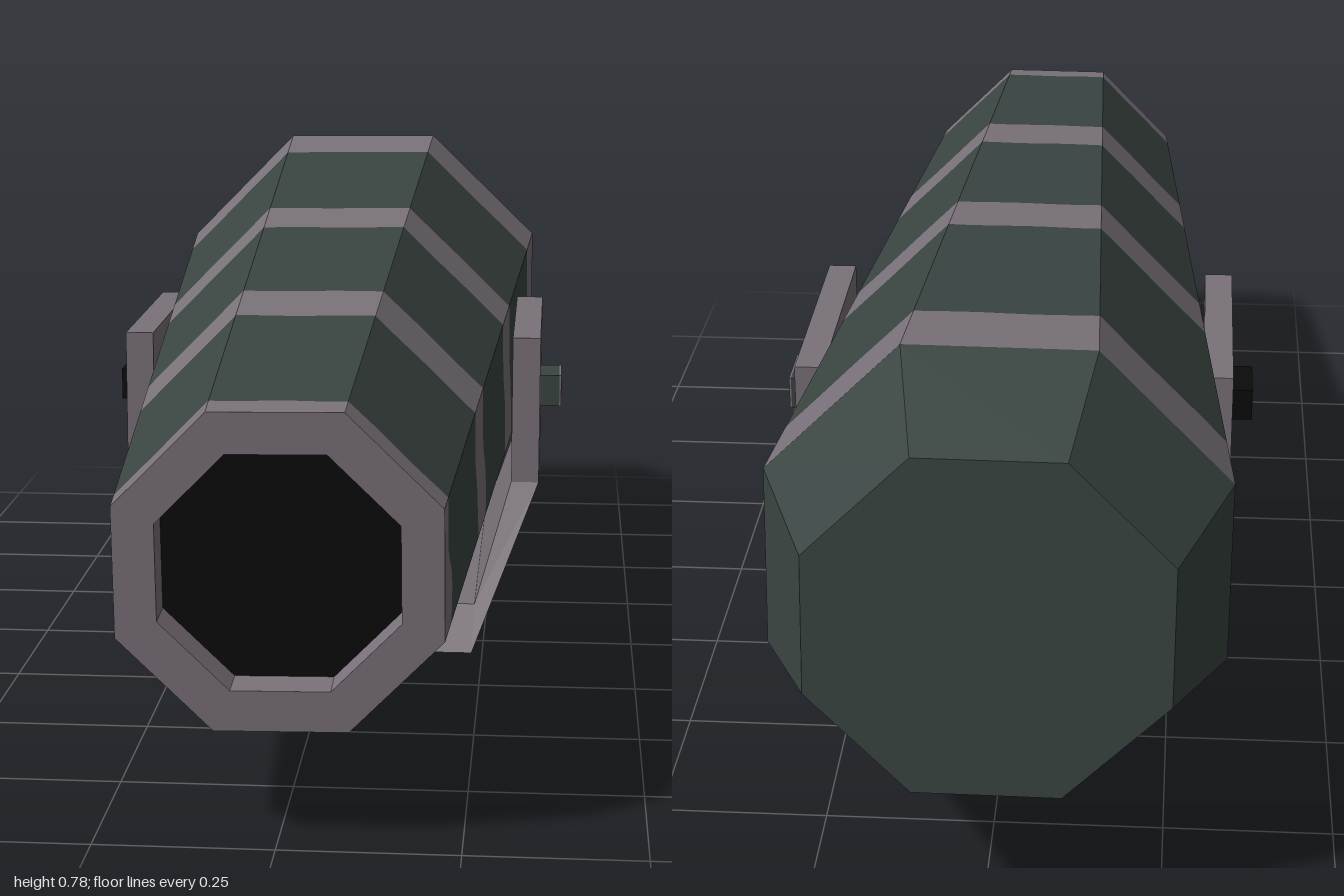
import * as THREE from 'three';

const mat = (name, color, extra = {}) => new THREE.MeshStandardMaterial({ name, color, ...extra });

// Collects quads and turns them into a faceted mesh
class Facets {
  constructor() { this.p = []; }
  quad(a, b, c, d) { this.p.push(...a, ...b, ...c, ...a, ...c, ...d); }
  mesh(name, material) {
    const g = new THREE.BufferGeometry();
    g.setAttribute('position', new THREE.Float32BufferAttribute(this.p, 3));
    g.computeVertexNormals();
    const m = new THREE.Mesh(g, material);
    m.name = name;
    return m;
  }
}

// Point on a flat-topped octagon of unit apothem; u counts facets from 0 to 8
function octagon(u) {
  const i = Math.floor(u), t = u - i, r = 1 / Math.cos(Math.PI / 8);
  const corner = k => [r * Math.cos((k - 0.5) * Math.PI / 4), r * Math.sin((k - 0.5) * Math.PI / 4)];
  const [ax, ay] = corner(i), [bx, by] = corner(i + 1);
  return [ax + (bx - ax) * t, ay + (by - ay) * t];
}

// Octagonal rings joined in order, each given as [apothem, z]
function rings(name, list, material) {
  const f = new Facets();
  const at = ([a, z], u) => { const [x, y] = octagon(u); return [x * a, y * a, z]; };
  for (let k = 0; k < list.length - 1; k++) {
    const [A, B] = [list[k], list[k + 1]];
    for (let u = 0; u < 8; u++) f.quad(at(A, u), at(B, u), at(B, u + 1), at(A, u + 1));
  }
  return f.mesh(name, material);
}

const FRONT = 0.99, RIM = -0.785;
const apothem = z => 0.22 + (FRONT - z) * 0.0603;

// Camouflage edge: steps backwards on the lower half, with a slight wobble
function edgeZ(base, u) {
  if (base === FRONT || base === RIM) return base;
  const y = octagon(u)[1];
  const drop = THREE.MathUtils.smoothstep(-y, -0.12, 0.14);
  const wobble = 0.006 * Math.sin(u * 5.5 * Math.PI / 2 + base * 9);
  return base - (base < -0.5 ? 0.025 : 0.045) * drop + wobble * (0.3 + drop);
}

function barrelStrip(name, z0, z1, material) {
  const f = new Facets(), steps = 8;
  const at = (base, u) => {
    const z = edgeZ(base, u % 8), a = apothem(z), [x, y] = octagon(u);
    return [x * a, y * a, z];
  };
  for (let k = 0; k < 8 * steps; k++) {
    const u = k / steps, v = (k + 1) / steps;
    f.quad(at(z0, u), at(z1, u), at(z1, v), at(z0, v));
  }
  return f.mesh(name, material);
}

// Cradle: U-shaped profile whose depth varies with height, points are [x, y, half depth]
function cradle(material) {
  const f = new Facets(), zc = -0.117;
  const O = [[0.34, 0.54, 0.21], [0.34, 0.3, 0.21], [0.237, 0.05, 0.355], [0.105, 0, 0.085]];
  const I = [[0.295, 0.54, 0.21], [0.295, 0.3, 0.21], [0.24, 0.12, 0.313]];
  const flip = ([x, y, h]) => [-x, y, h];
  const pt = ([x, y, h], s) => [x, y, zc + s * h];
  // surfaces running front to back
  const loop = [...O, ...[...O].reverse().map(flip), ...I.map(flip), ...[...I].reverse()];
  loop.forEach((p, i) => {
    const q = loop[(i + 1) % loop.length];
    f.quad(pt(p, 1), pt(q, 1), pt(q, -1), pt(p, -1));
  });
  // front and back faces
  for (const s of [1, -1]) {
    const face = (c, reverse) => {
      const v = c.map(p => pt(p, s));
      f.quad(...(reverse ? v.reverse() : v));
    };
    for (let k = 0; k < 2; k++) {
      const c = [O[k], I[k], I[k + 1], O[k + 1]];
      face(c, s < 0);
      face(c.map(flip), s > 0);
    }
    face([I[2], flip(I[2]), flip(O[2]), O[2]], s < 0);
    face([O[2], flip(O[2]), flip(O[3]), O[3]], s < 0);
  }
  return f.mesh('cradle', material);
}

function box(name, w, h, d, x, y, z, material) {
  const m = new THREE.Mesh(new THREE.BoxGeometry(w, h, d), material);
  m.position.set(x, y, z);
  m.name = name;
  return m;
}

export function createModel() {
  const green = mat('dark green', 0x3a4542);
  const grey = mat('mauve grey', 0x7a727a);
  const black = mat('black', 0x0b0b0b);
  const model = new THREE.Group();
  model.name = 'cannon';

  // Barrel, tipped slightly nose-down
  const barrel = new THREE.Group();
  barrel.name = 'barrel';
  const edges = [FRONT, 0.94, 0.52, 0.38, -0.03, -0.17, -0.63, RIM];
  for (let i = 0; i < edges.length - 1; i++) {
    const band = i % 2 === 0;
    barrel.add(barrelStrip(band ? 'barrelBand' : 'barrelBody', edges[i], edges[i + 1], band ? grey : green));
  }
  barrel.add(
    rings('breech', [[apothem(RIM), RIM], [0.25, -0.99], [0, -0.99]], green),
    rings('muzzle', [[0.163, 0.93], [0.163, FRONT], [0.22, FRONT]], grey),
    rings('bore', [[0, 0.93], [0.163, 0.93]], black),
  );
  barrel.position.set(-0.0035, 0.42, 0);
  barrel.rotation.set(0.041, 0.0076, 0.01);
  model.add(barrel, cradle(grey));

  // Pivot pins on the cradle cheeks
  model.add(
    box('leftPivot', 0.04, 0.052, 0.095, 0.352, 0.421, -0.12, green),
    box('leftPivotCap', 0.003, 0.052, 0.095, 0.3735, 0.421, -0.12, grey),
    box('leftPivotSlot', 0.002, 0.018, 0.042, 0.3755, 0.418, -0.12, green),
    box('rightPivot', 0.04, 0.052, 0.095, -0.355, 0.421, -0.12, black),
  );
  return model;
}
